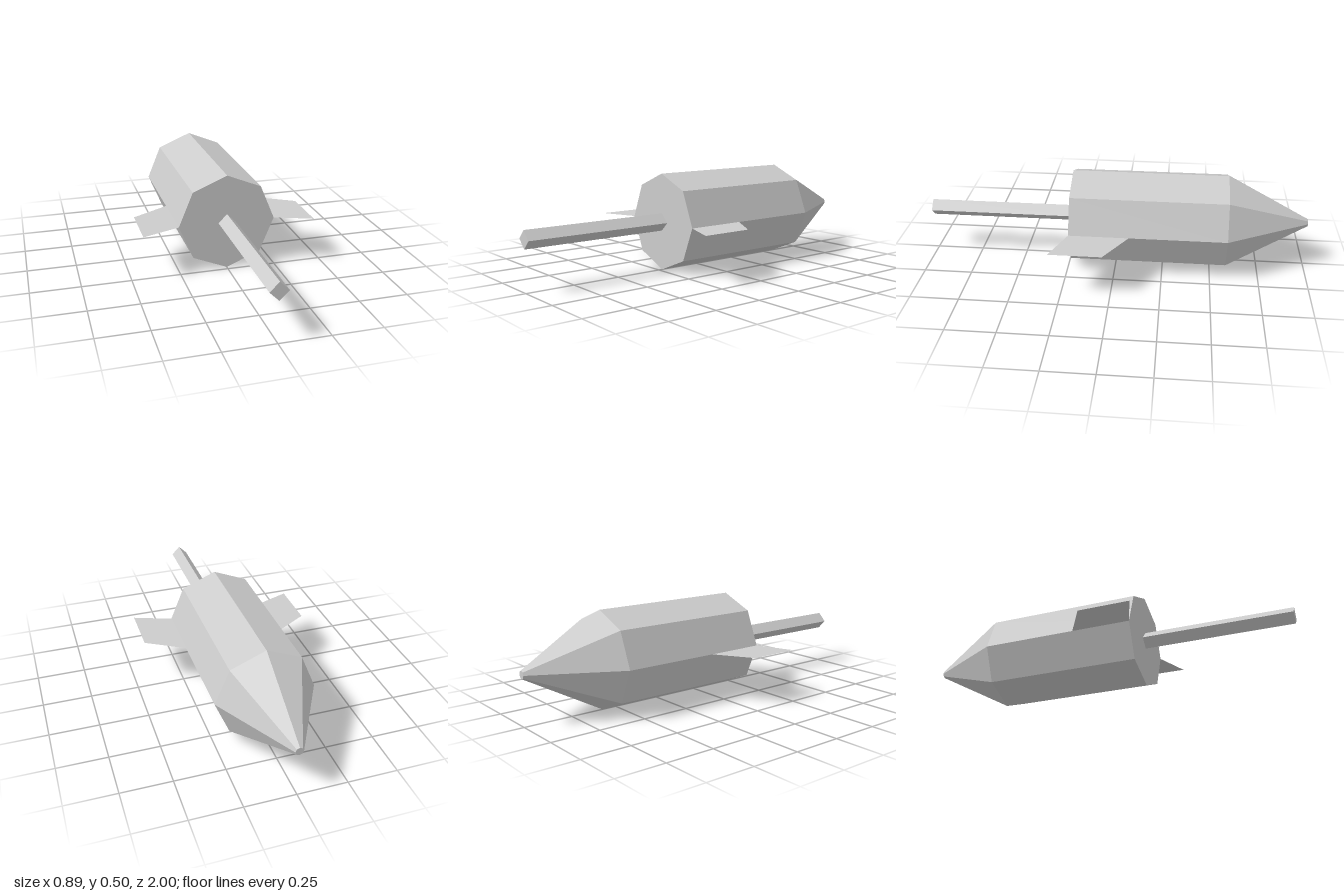
import * as THREE from 'three';

const CENTRE_Y = 0.25;
const TAIL_Z = 0.228, SHOULDER_Z = -0.578;

export function createModel() {
  const group = new THREE.Group();
  const grey = new THREE.MeshStandardMaterial({ color: 0xcccccc, flatShading: true });
  grey.name = 'grey';
  const finGrey = grey.clone();
  finGrey.side = THREE.DoubleSide;

  // Faceted tube along z, from the rear end (+z) to the nose end (-z)
  const tube = (name, rearRadius, noseRadius, rearZ, noseZ, sides) => {
    const geometry = new THREE.CylinderGeometry(noseRadius, rearRadius, rearZ - noseZ, sides);
    geometry.rotateX(-Math.PI / 2);
    const mesh = new THREE.Mesh(geometry, grey);
    mesh.name = name;
    mesh.position.set(0, CENTRE_Y, (rearZ + noseZ) / 2);
    group.add(mesh);
  };
  tube('body', 0.25, 0.25, TAIL_Z, SHOULDER_Z, 8);
  tube('noseCone', 0.25, 0.02, SHOULDER_Z, -1, 8);
  tube('guideStick', 0.045, 0.045, 1, TAIL_Z, 4);

  // Flat swept fins, mirrored on each side
  for (const [name, side] of [['leftFin', 1], ['rightFin', -1]]) {
    const outline = [[0.25, -0.08], [0.443, 0.035], [0.443, 0.302], [0.25, TAIL_Z]];
    const shape = new THREE.Shape(outline.map(([x, z]) => new THREE.Vector2(side * x, -z)));
    const fin = new THREE.Mesh(new THREE.ShapeGeometry(shape).rotateX(-Math.PI / 2), finGrey);
    fin.name = name;
    fin.position.y = CENTRE_Y;
    group.add(fin);
  }
  return group;
}
